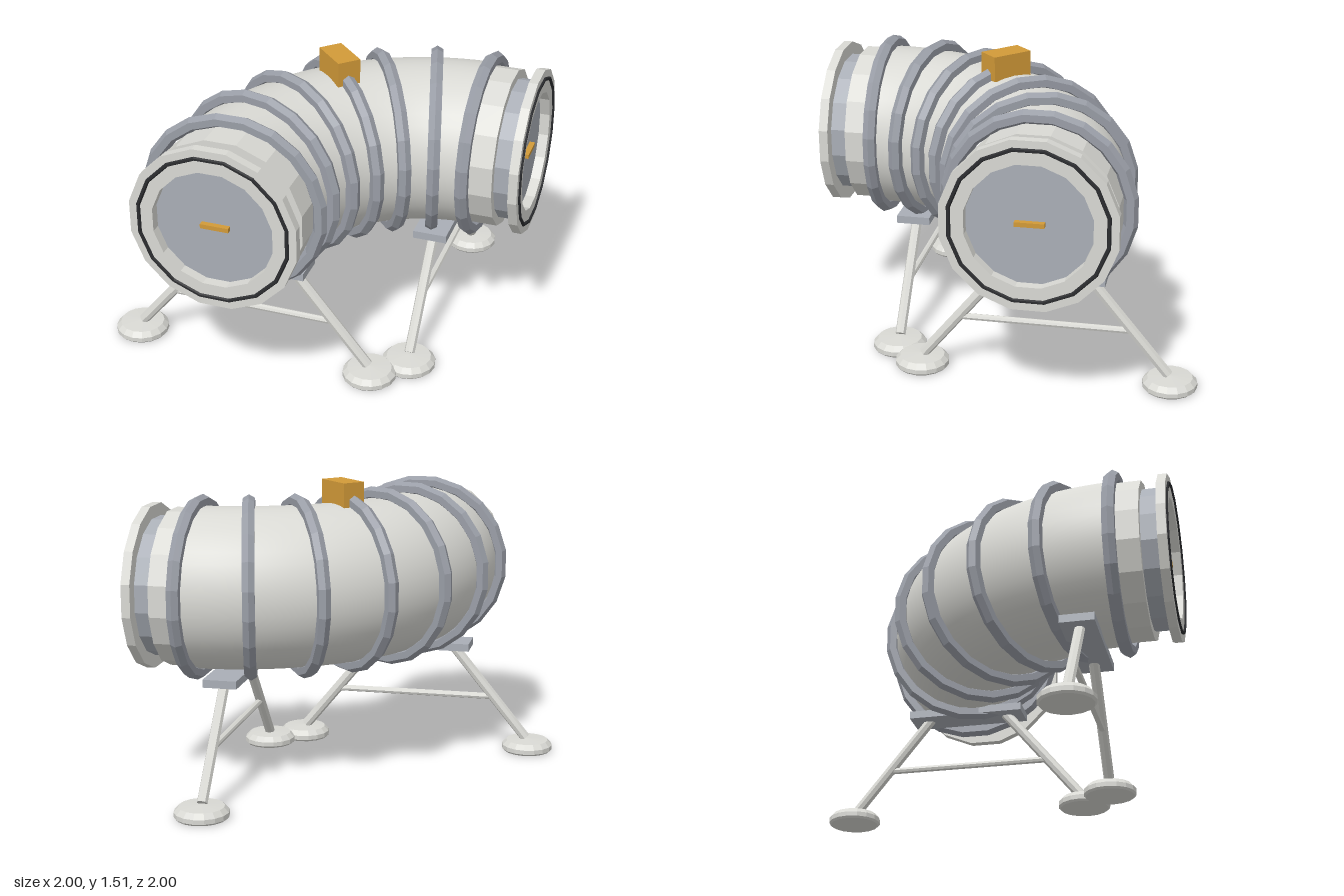
import * as THREE from 'three';

const mat = (name, color) => {
  const m = new THREE.MeshStandardMaterial({ color });
  m.name = name;
  return m;
};

const CY = 0.993;   // height of the tube axis
const BEND = 0.72;  // x and z of the bend centre
const R = 0.963;    // bend radius
const SIDE = BEND - R; // x of the front opening, z of the side opening

// Unshared corners give every face its own normal
const facet = (geo) => {
  const g = geo.index ? geo.toNonIndexed() : geo;
  g.computeVertexNormals();
  return g;
};

export function createModel() {
  const white = mat('off white shell', 0xd9d9d4);
  const grey = mat('blue grey metal', 0xa9aeb6);
  const ribGrey = mat('rib grey', 0x9a9ea7);
  const black = mat('black seal', 0x2b2c2f);
  const gold = mat('gold', 0xd29a38);

  const model = new THREE.Group();
  model.name = 'bentTunnelModule';
  const add = (parent, name, geo, material, x = 0, y = 0, z = 0) => {
    const mesh = new THREE.Mesh(geo, material);
    mesh.name = name;
    mesh.position.set(x, y, z);
    parent.add(mesh);
    return mesh;
  };

  // Quarter-bend tube
  const tube = new THREE.TorusGeometry(R, 0.41, 40, 36, Math.PI / 2);
  tube.rotateZ(Math.PI).rotateX(Math.PI / 2);
  add(model, 'bentTube', tube, white, BEND, CY, BEND);

  // Seven ribs, one every 15 degrees
  const ribGeo = facet(new THREE.TorusGeometry(0.434, 0.035, 6, 20).rotateZ(Math.PI / 20));
  for (let i = 0; i < 7; i++) {
    const a = (i * Math.PI) / 12;
    const rib = add(model, 'rib', ribGeo, ribGrey, BEND - R * Math.cos(a), CY, BEND - R * Math.sin(a));
    rib.rotation.y = -a;
  }

  // Faceted ring turned around z from [radius, z] points
  const turned = (pts) => facet(new THREE.LatheGeometry(
    pts.map(([r, z]) => new THREE.Vector2(r, z)), 16, Math.PI / 16).rotateX(Math.PI / 2));

  // Docking port, built facing +z
  const collarGeo = turned([[0.4, 0.7], [0.4, 0.86], [0.34, 0.86]]);
  const neckGeo = turned([[0.355, 0.85], [0.355, 0.95]]);
  const flangeGeo = turned([[0.34, 0.945], [0.42, 0.945], [0.42, 0.99], [0.302, 0.99], [0.302, 0.935]]);
  const sealGeo = facet(new THREE.TorusGeometry(0.373, 0.01, 6, 16).rotateZ(Math.PI / 16));
  const hatchGeo = new THREE.CircleGeometry(0.306, 16).rotateZ(Math.PI / 16);
  const port = (name) => {
    const g = new THREE.Group();
    g.name = name;
    add(g, 'collar', collarGeo, white);
    add(g, 'neck', neckGeo, grey);
    add(g, 'flange', flangeGeo, white);
    add(g, 'seal', sealGeo, black, 0, 0, 0.99);
    add(g, 'hatch', hatchGeo, grey, 0, 0, 0.94);
    add(g, 'hatchHandle', new THREE.BoxGeometry(0.14, 0.022, 0.03), gold, 0, 0, 0.952);
    model.add(g);
    return g;
  };
  port('frontPort').position.set(SIDE, CY, 0);
  const sidePort = port('sidePort');
  sidePort.position.set(0, CY, SIDE);
  sidePort.rotation.y = Math.PI / 2;

  // Gold equipment box on top of the bend
  add(model, 'roofBox', new THREE.BoxGeometry(0.21, 0.125, 0.118), gold, 0.05, 1.4525, 0.045)
    .rotation.y = -Math.PI / 4;

  // Stand: saddle plate, two splayed legs with foot pads, cross bar
  const rod = (parent, name, from, to, radius) => {
    const dir = to.clone().sub(from);
    const m = add(parent, name, facet(new THREE.CylinderGeometry(radius, radius, dir.length(), 8)), white);
    m.position.copy(from).addScaledVector(dir, 0.5);
    m.quaternion.setFromUnitVectors(new THREE.Vector3(0, 1, 0), dir.normalize());
  };
  const footGeo = facet(new THREE.LatheGeometry(
    [[0, 0.004], [0.125, 0.004], [0.135, 0.014], [0.135, 0.037], [0.112, 0.062], [0, 0.068]]
      .map(([r, y]) => new THREE.Vector2(r, y)), 16));
  const stand = (name) => {
    const g = new THREE.Group();
    g.name = name;
    add(g, 'saddlePlate', new THREE.BoxGeometry(0.61, 0.04, 0.172), grey, 0, 0.575, 0);
    for (const s of [-1, 1]) {
      rod(g, 'leg', new THREE.Vector3(s * 0.205, 0.57, 0), new THREE.Vector3(s * 0.612, 0.072, 0), 0.027);
      add(g, 'footPad', footGeo, white, s * 0.622, 0, 0);
    }
    rod(g, 'crossBar', new THREE.Vector3(-0.43, 0.292, 0), new THREE.Vector3(0.43, 0.292, 0), 0.017);
    model.add(g);
    return g;
  };
  stand('frontStand').position.set(SIDE, 0, 0.537);
  const sideStand = stand('sideStand');
  sideStand.position.set(0.537, 0, SIDE);
  sideStand.rotation.y = Math.PI / 2;

  return model;
}
